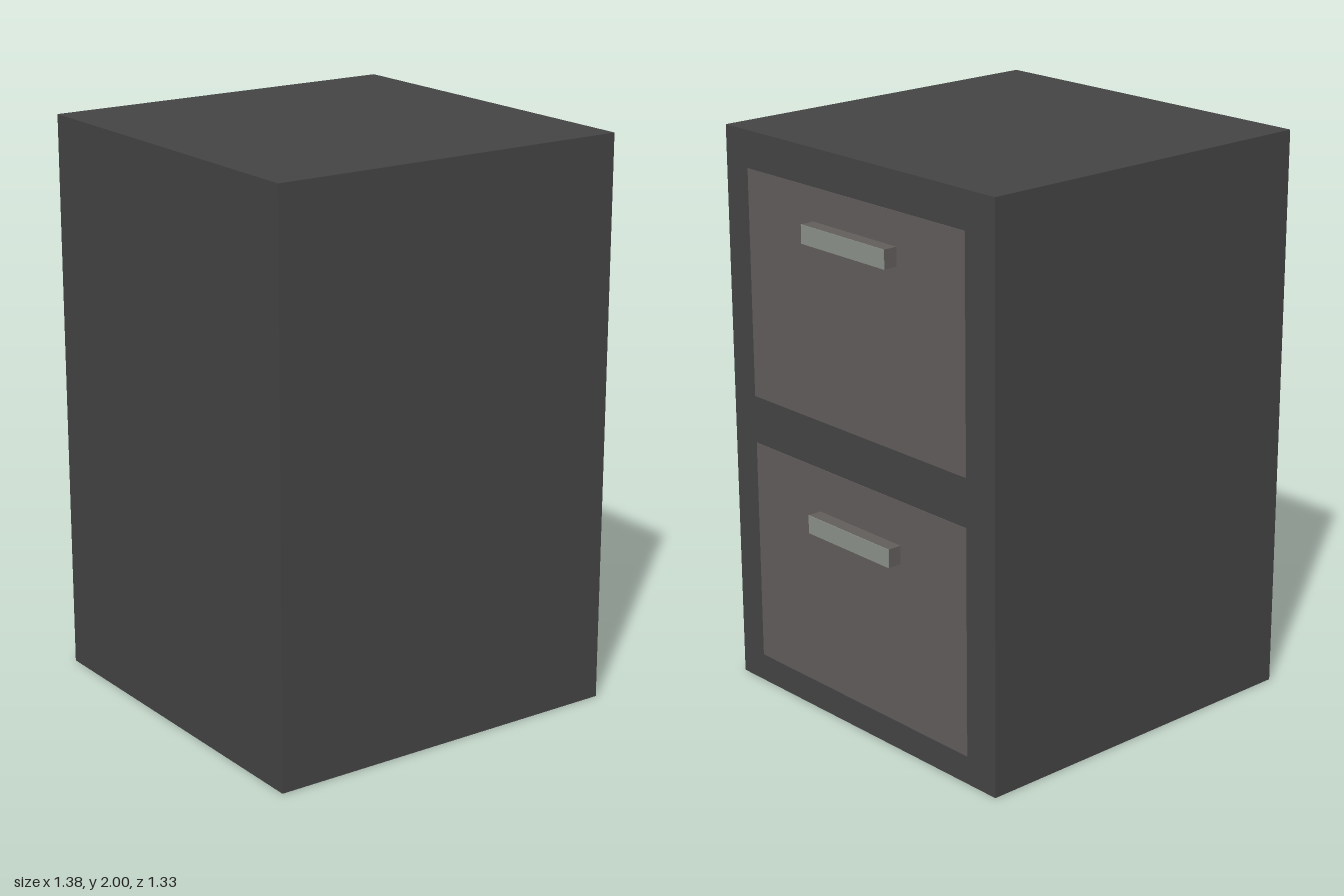
import * as THREE from 'three';

const bodyMat = new THREE.MeshStandardMaterial({ color: 0x444444 });
const panelMat = new THREE.MeshStandardMaterial({ color: 0x625d5b });
const gripMat = new THREE.MeshStandardMaterial({ color: 0x8c918a });

// Box given by its min and max along each axis
function box(name, material, [x0, x1], [y0, y1], [z0, z1]) {
  const mesh = new THREE.Mesh(new THREE.BoxGeometry(x1 - x0, y1 - y0, z1 - z0), material);
  mesh.position.set((x0 + x1) / 2, (y0 + y1) / 2, (z0 + z1) / 2);
  mesh.name = name;
  return mesh;
}

// Drawer front, almost flush with the cabinet, and its bar handle
function drawer(name, bottom, handleBottom) {
  const group = new THREE.Group();
  group.name = name;
  const handleY = [handleBottom, handleBottom + 0.065];
  const handleZ = [-0.21, 0.205];
  group.add(
    box('drawerFront', panelMat, [0.62, 0.638], [bottom, bottom + 0.8], [-0.53, 0.55]),
    box('handleBar', panelMat, [0.63, 0.688], handleY, handleZ),
    box('handleFace', gripMat, [0.688, 0.69], handleY, handleZ)
  );
  return group;
}

export function createModel() {
  const cabinet = new THREE.Group();
  cabinet.name = 'filingCabinet';
  cabinet.add(
    box('cabinetBody', bodyMat, [-0.69, 0.636], [0, 2], [-0.665, 0.665]),
    drawer('upperDrawer', 1.07, 1.69),
    drawer('lowerDrawer', 0.1, 0.68)
  );
  return cabinet;
}
